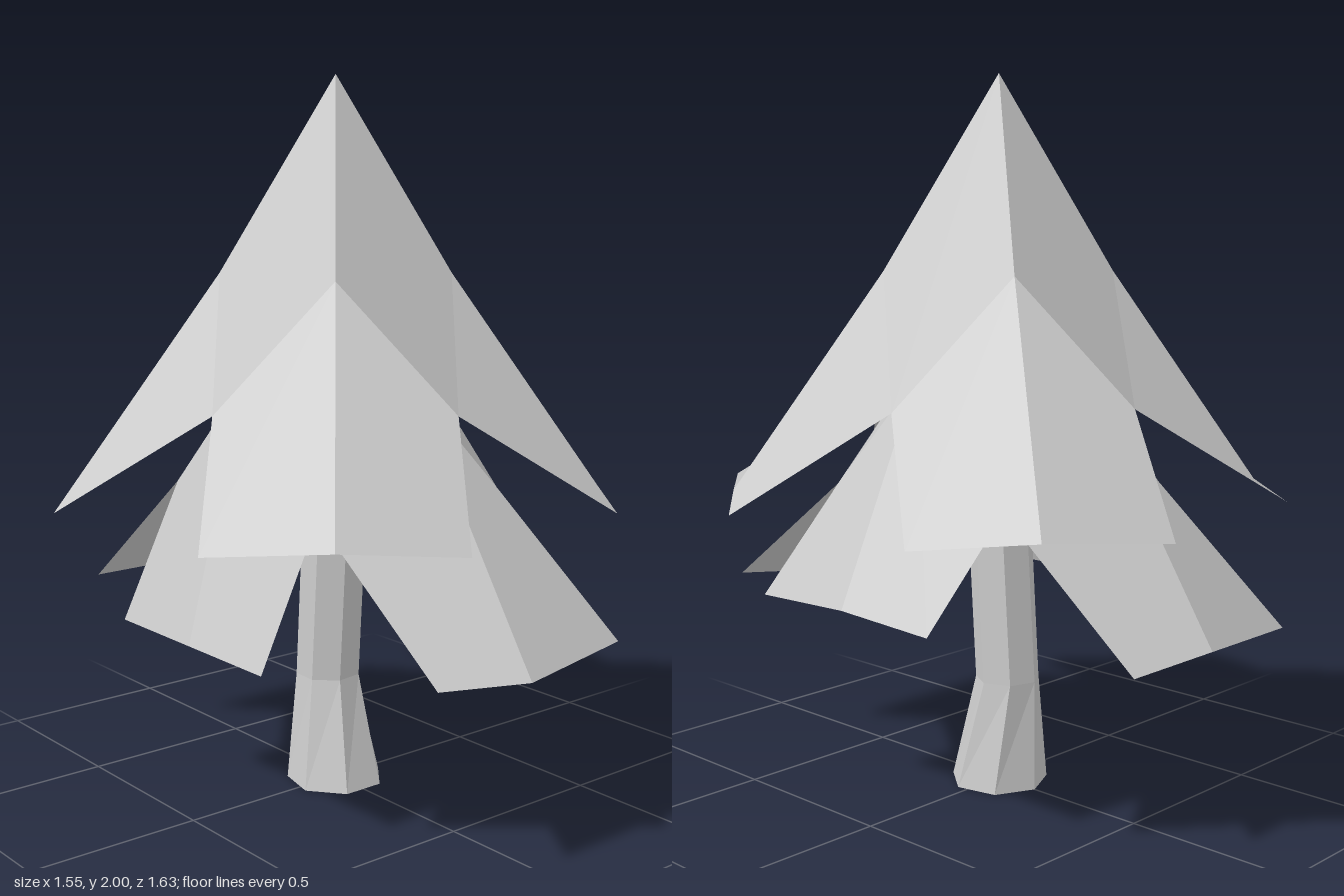
import * as THREE from 'three';

const canopyMaterial = new THREE.MeshStandardMaterial({ color: 0xcccccc, side: THREE.DoubleSide });
canopyMaterial.name = 'pale grey';

// Folded sheet with four drooping arms, made of flat-shaded quads.
// Each arm is [length, ridge end height, corner height, sideways shift of its end].
// Quarters alternate between bulging and sunken folds, starting at firstBulge.
function canopyTier(name, { turn, apexY, ridgeY, valleyY, firstBulge, arms }) {
  const half = 0.32;
  const positions = [], normals = [];

  const quad = (quarter, a, b, c, d) => {
    const bulging = (quarter + firstBulge) % 2 === 0;
    const n = c.clone().sub(a).cross(d.clone().sub(b)).normalize();
    for (const v of bulging ? [a, b, c, a, c, d] : [a, b, d, b, c, d]) {
      positions.push(v.x, v.y, v.z);
      normals.push(n.x, n.y, n.z);
    }
  };
  // point given along and across arm i
  const at = (i, along, across, y) => {
    const t = turn + i * Math.PI / 2, s = Math.sin(t), c = Math.cos(t);
    return new THREE.Vector3(along * s + across * c, y, along * c - across * s);
  };

  const apex = new THREE.Vector3(0, apexY, 0);
  const ridge = i => at(i, half, 0, ridgeY);
  const valley = i => at(i, half, half, valleyY);
  arms.forEach(([length, midY, cornerY, shift], i) => {
    const mid = at(i, length, shift, midY);
    quad(i, apex, ridge(i), valley(i), ridge(i + 1));
    quad(i, ridge(i), mid, at(i, length, half + shift, cornerY), valley(i));
    quad(i + 3, ridge(i), valley(i - 1), at(i, length, shift - half, cornerY), mid);
  });

  const geometry = new THREE.BufferGeometry();
  geometry.setAttribute('position', new THREE.Float32BufferAttribute(positions, 3));
  geometry.setAttribute('normal', new THREE.Float32BufferAttribute(normals, 3));
  const mesh = new THREE.Mesh(geometry, canopyMaterial);
  mesh.name = name;
  return mesh;
}

// Seven-sided trunk, flared at the foot and slightly bent
function trunk() {
  const sides = 7;
  const rings = [ // height, radius, z offset, twist
    [0, 0.14, 0, 0],
    [0.31, 0.092, -0.035, 0.15],
    [1.15, 0.092, 0.02, 0.15],
  ];
  let geometry = new THREE.CylinderGeometry(1, 1, 1, sides, rings.length - 1);
  const p = geometry.attributes.position;
  for (let i = 0; i < p.count; i++) {
    const level = Math.round((p.getY(i) + 0.5) * (rings.length - 1));
    const [y, r, z, twist] = rings[level];
    const radius = Math.hypot(p.getX(i), p.getZ(i)) * r;
    const angle = Math.atan2(p.getX(i), p.getZ(i)) + Math.PI / sides + twist;
    p.setXYZ(i, Math.sin(angle) * radius, y, Math.cos(angle) * radius + z);
  }
  geometry = geometry.toNonIndexed();
  geometry.computeVertexNormals();
  const mesh = new THREE.Mesh(geometry, canopyMaterial);
  mesh.name = 'trunk';
  return mesh;
}

export function createModel() {
  const tree = new THREE.Group();
  tree.name = 'tree';
  tree.add(
    trunk(),
    canopyTier('upperCanopy', {
      turn: 0.885, apexY: 2, ridgeY: 1.465, valleyY: 1.115, firstBulge: 0,
      arms: [
        [0.74, 0.865, 0.857, 0],
        [0.795, 0.865, 0.857, 0],
        [0.74, 0.865, 0.857, 0],
        [0.79, 0.865, 0.857, 0],
      ],
    }),
    canopyTier('lowerCanopy', {
      turn: 0, apexY: 1.72, ridgeY: 1.19, valleyY: 0.87, firstBulge: 1,
      arms: [
        [0.78, 0.49, 0.535, -0.005],
        [0.565, 0.6, 0.588, -0.03],
        [0.725, 0.515, 0.515, 0.03],
        [0.525, 0.505, 0.505, 0.03],
      ],
    }),
  );
  return tree;
}
